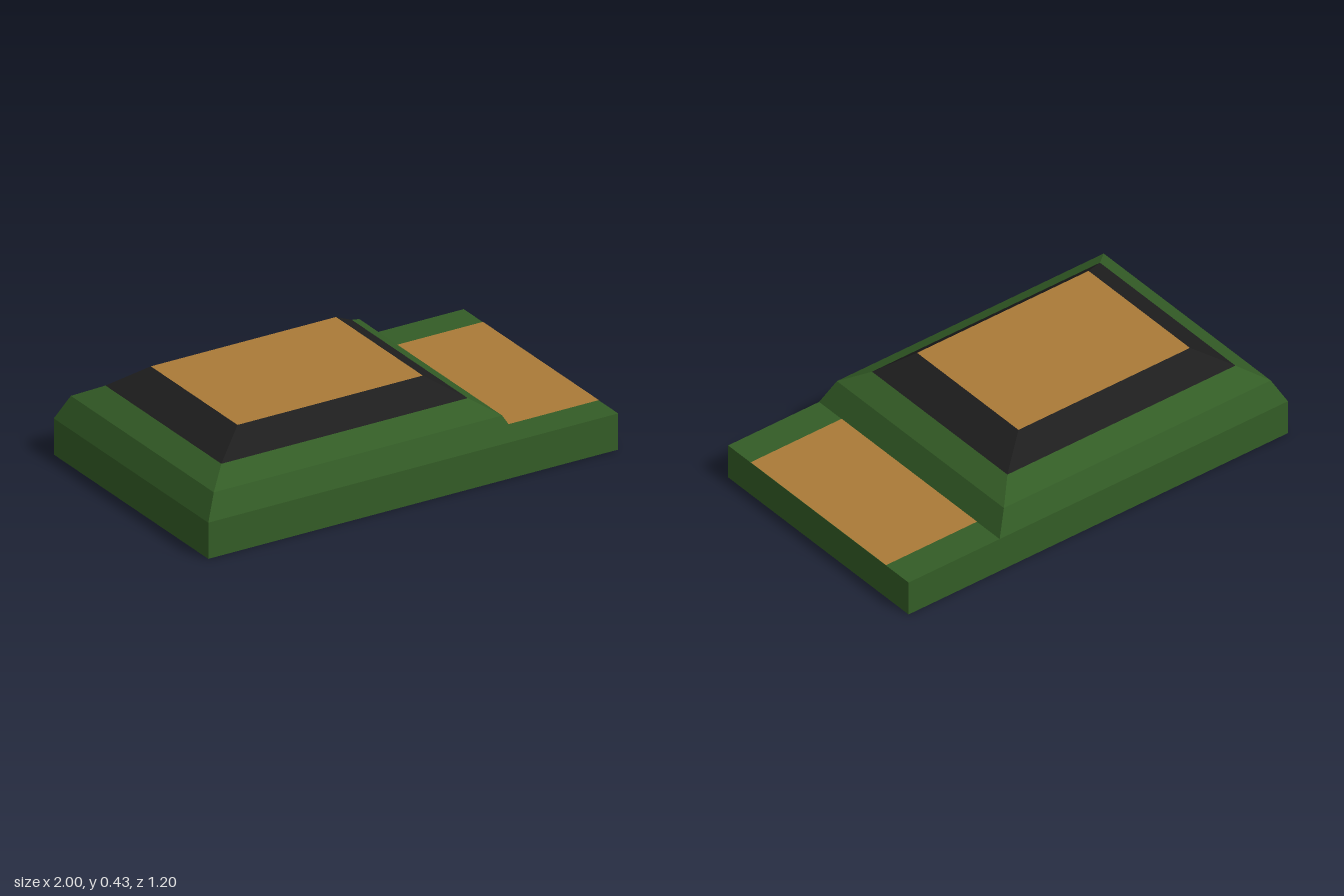
import * as THREE from 'three';

const material = (color) => new THREE.MeshStandardMaterial({ color, flatShading: true, side: THREE.DoubleSide });

// Rectangle at height y, corners counter-clockwise seen from above
const ring = (y, x0, x1, z) => [[x0, y, z], [x1, y, z], [x1, y, -z], [x0, y, -z]];

// Sloped walls between successive rings, with optional end caps
function loft(rings, { bottom = false, top = false } = {}) {
  const positions = [];
  const quad = (a, b, c, d) => positions.push(...a, ...b, ...c, ...a, ...c, ...d);
  for (let r = 0; r < rings.length - 1; r++) {
    const lo = rings[r], hi = rings[r + 1];
    for (let i = 0; i < 4; i++) {
      const j = (i + 1) % 4;
      quad(lo[i], lo[j], hi[j], hi[i]);
    }
  }
  if (bottom) quad(...[...rings[0]].reverse());
  if (top) quad(...rings[rings.length - 1]);
  const geometry = new THREE.BufferGeometry();
  geometry.setAttribute('position', new THREE.Float32BufferAttribute(positions, 3));
  geometry.computeVertexNormals();
  return geometry;
}

export function createModel() {
  const model = new THREE.Group();
  model.name = 'steppedPlatform';
  const green = material(0x335c26);
  const black = material(0x1e1e1e);
  const tan = material(0xaa7a38);

  const add = (name, geometry, mat) => {
    const mesh = new THREE.Mesh(geometry, mat);
    mesh.name = name;
    model.add(mesh);
    return mesh;
  };

  // Heights and outlines of the tiers
  const foot = ring(0.165, -1, 0.52, 0.6);
  const shoulder = ring(0.272, -0.945, 0.462, 0.555);
  const rim = ring(0.335, -0.842, 0.36, 0.45);
  const crown = ring(0.43, -0.692, 0.212, 0.337);

  // Flat base slab
  add('base', loft([ring(0, -1, 1, 0.6), ring(0.165, -1, 1, 0.6)], { bottom: true, top: true }), green);

  // Raised body with a steep lower and a shallow upper slope
  add('raisedBody', loft([foot, shoulder, rim]), green);

  // Dark sloped band below the roof
  add('darkBand', loft([rim, crown]), black);

  // Tan panels on the roof and on the low deck
  add('roofPanel', loft([crown], { top: true }), tan);
  add('deckPanel', loft([ring(0.1665, 0.52, 1, 0.45)], { top: true }), tan);

  return model;
}
